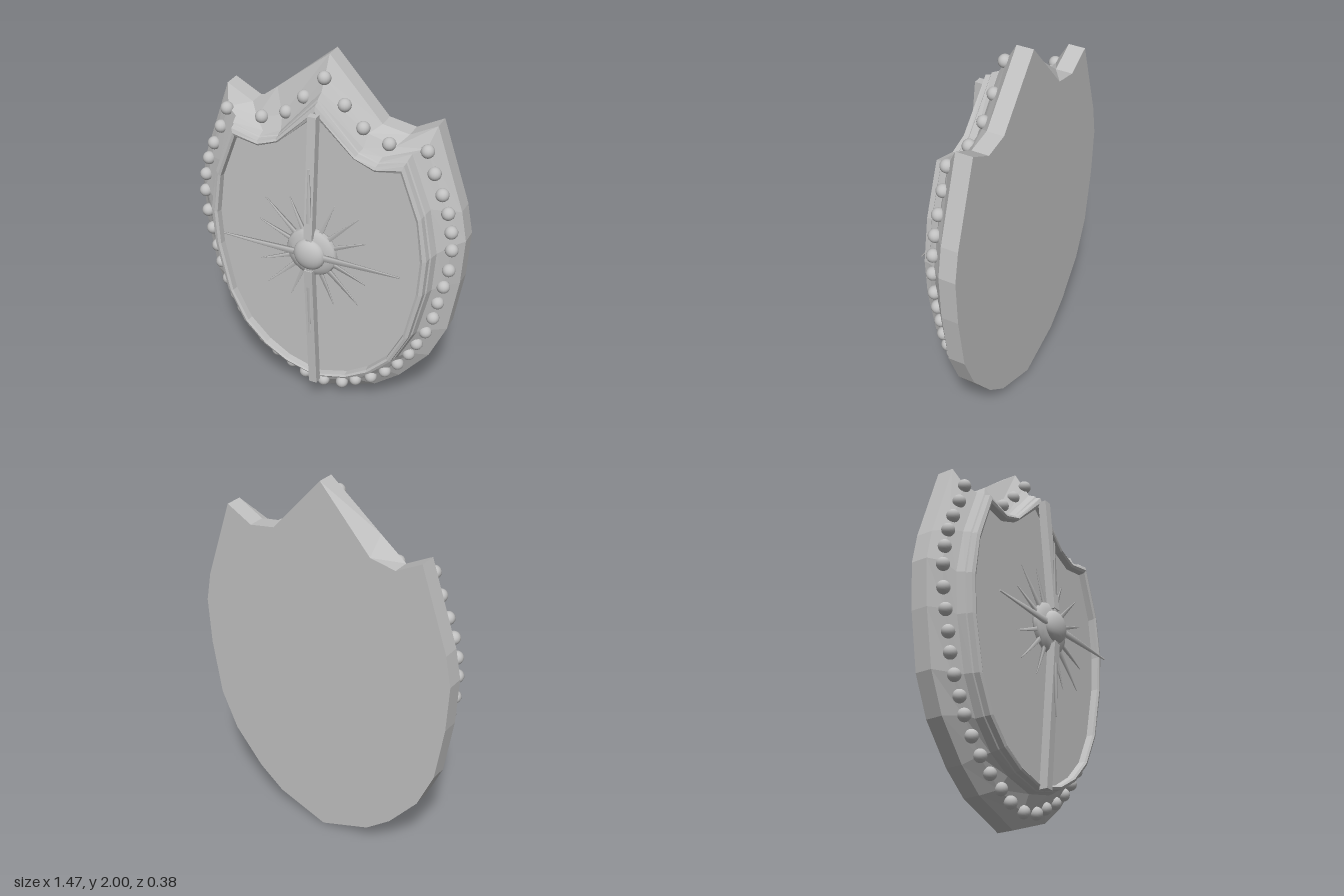
import * as THREE from 'three';

// Matching half outlines, from the top peak down the +x side to the bottom tip
const OUTER = [[0, 2], [0.28, 1.69], [0.42, 1.665], [0.56, 1.74], [0.705, 1.31], [0.735, 1.15], [0.72, 0.9], [0.67, 0.6], [0.58, 0.4], [0.42, 0.21], [0.28, 0.1], [0, 0]];
const CREASE = [[0, 1.9], [0.23, 1.655], [0.37, 1.615], [0.53, 1.64], [0.645, 1.33], [0.685, 1.14], [0.655, 0.9], [0.585, 0.6], [0.49, 0.42], [0.36, 0.26], [0.2, 0.14], [0, 0.075]];
const STEP = [[0, 1.84], [0.22, 1.59], [0.32, 1.565], [0.47, 1.615], [0.575, 1.34], [0.62, 1.1], [0.605, 0.88], [0.54, 0.6], [0.445, 0.41], [0.32, 0.28], [0.18, 0.205], [0, 0.165]];
const PANEL = [[0, 1.74], [0.2, 1.56], [0.31, 1.515], [0.44, 1.535], [0.53, 1.29], [0.557, 1.07], [0.545, 0.88], [0.485, 0.6], [0.4, 0.43], [0.29, 0.32], [0.17, 0.245], [0, 0.195]];

// Bead centres on the +x side; the first and last sit on the middle line
const BEADS = [[0, 0.08], [0.11, 0.1], [0.19, 0.145], [0.28, 0.195], [0.36, 0.26], [0.43, 0.335], [0.49, 0.42], [0.53, 0.5], [0.575, 0.59], [0.61, 0.69], [0.63, 0.79], [0.655, 0.895], [0.677, 1.0], [0.685, 1.12], [0.677, 1.22], [0.655, 1.32], [0.62, 1.415], [0.575, 1.52], [0.535, 1.63], [0.34, 1.625], [0.205, 1.68], [0.107, 1.78], [0, 1.9]];

const mix = (a, b, t) => a.map((p, i) => [p[0] + (b[i][0] - p[0]) * t, p[1] + (b[i][1] - p[1]) * t]);

// Full closed outline from a half outline
const full = (half) => [...half, ...half.slice(1, -1).reverse().map(([x, y]) => [-x, y])];

// Flat-faced band through a list of [outline, z]
function loft(layers) {
  const pos = [];
  for (let k = 0; k + 1 < layers.length; k++) {
    const [A, za] = layers[k], [B, zb] = layers[k + 1];
    for (let i = 0; i < A.length; i++) {
      const j = (i + 1) % A.length;
      const a = [...A[i], za], b = [...A[j], za], c = [...B[i], zb], d = [...B[j], zb];
      pos.push(...a, ...c, ...b, ...b, ...c, ...d);
    }
  }
  const g = new THREE.BufferGeometry();
  g.setAttribute('position', new THREE.Float32BufferAttribute(pos, 3));
  g.computeVertexNormals();
  return g;
}

const cap = (half, z) => new THREE.ShapeGeometry(
  new THREE.Shape(full(half).map(([x, y]) => new THREE.Vector2(x, y)))).translate(0, 0, z);

export function createModel() {
  const root = new THREE.Group();
  root.name = 'shield';
  const metal = new THREE.MeshStandardMaterial({ color: 0xc0c0c0 });
  metal.name = 'grey metal';
  const add = (geometry, name, parent = root) => {
    const m = new THREE.Mesh(geometry, metal);
    m.name = name;
    parent.add(m);
    return m;
  };

  // Thick body with a bevelled rim; one top notch has a straighter front edge
  const rim = full(OUTER);
  rim[rim.length - 1] = [-0.28, 1.775];
  add(loft([[full(OUTER), -0.19], [rim, -0.1], [full(CREASE), -0.045], [full(STEP), -0.01]]), 'body');
  add(cap(OUTER, 0).rotateY(Math.PI).translate(0, 0, -0.19), 'backPlate');

  // Raised trim around the front panel
  add(loft([[0, -0.01], [0.2, 0.03], [0.32, 0.035], [0.4, 0.063], [0.7, 0.07], [0.92, 0.063], [1, 0.03]]
    .map(([t, z]) => [full(mix(STEP, PANEL, t)), z])), 'trim');
  add(cap(PANEL, 0.03), 'frontPanel');

  // Row of beads along the rim
  const beads = new THREE.Group();
  beads.name = 'beads';
  root.add(beads);
  const beadGeo = new THREE.SphereGeometry(0.034, 16, 12);
  for (const [x, y] of BEADS)
    for (const s of x ? [1, -1] : [1]) add(beadGeo, 'bead', beads).position.set(s * x, y, -0.04);

  // Sun emblem
  const sun = new THREE.Group();
  sun.name = 'sun';
  sun.position.set(0.005, 1.015, 0);
  root.add(sun);

  add(new THREE.SphereGeometry(0.14, 16, 8).rotateX(Math.PI / 2).scale(1, 1, 0.3), 'hub', sun).position.z = 0.11;
  add(new THREE.SphereGeometry(0.085, 24, 16).scale(1, 1, 0.55), 'dome', sun).position.z = 0.142;

  // Tapered square spike pointing up, from radius r0 to r1
  const spike = (r0, r1, base, tip, depth) => new THREE.CylinderGeometry(tip, base, r1 - r0, 4).toNonIndexed()
    .rotateY(Math.PI / 4).scale(Math.SQRT2, 1, Math.SQRT2 * depth).translate(0, (r0 + r1) / 2, 0);
  const longRay = spike(0.08, 0.485, 0.016, 0.004, 0.5);
  const shortRay = [null, spike(0.08, 0.315, 0.013, 0.002, 0.6), spike(0.08, 0.36, 0.014, 0.002, 0.6)];
  for (let i = 0; i < 16; i++) {
    const k = i % 4;
    const ray = add(k ? shortRay[k === 2 ? 2 : 1] : longRay, k ? 'shortRay' : 'longRay', sun);
    ray.position.z = k ? 0.112 : 0.146;
    ray.rotation.z = i * Math.PI / 8;
  }

  // Upper and lower spine bars, leaning out towards the hub
  for (const [y0, y1, name] of [[1.11, 1.76, 'upperSpine'], [0.17, 0.92, 'lowerSpine']]) {
    const g = new THREE.BoxGeometry(0.045, y1 - y0, 0.045).toNonIndexed().translate(0.003, (y0 + y1) / 2, 0);
    const p = g.attributes.position;
    for (let i = 0; i < p.count; i++) {
      const inner = Math.abs(p.getY(i) - 1.015) < 0.3;
      p.setZ(i, p.getZ(i) + (inner ? 0.137 : 0.085));
    }
    g.computeVertexNormals();
    add(g, name);
  }
  return root;
}
